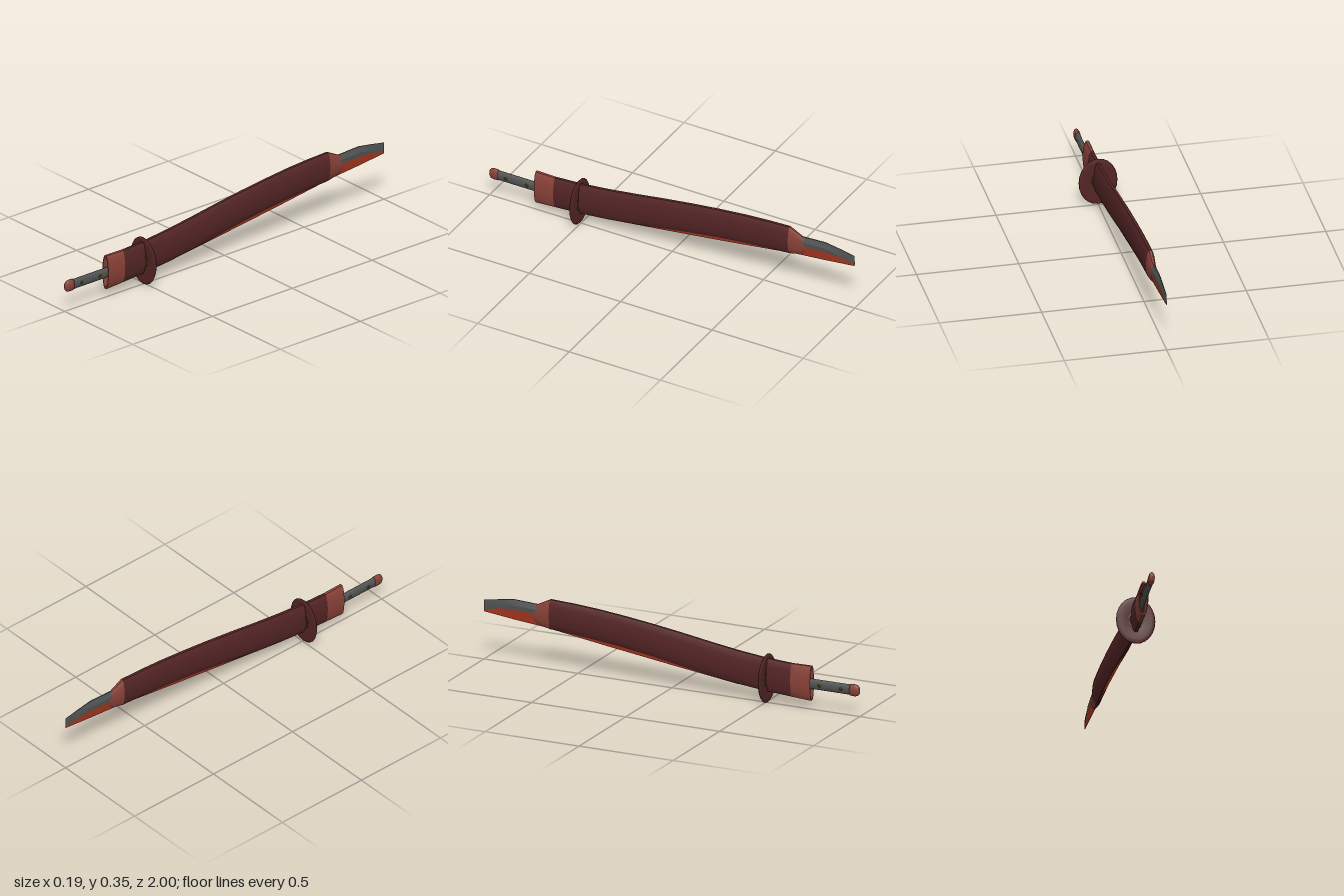
import * as THREE from 'three';
import { toCreasedNormals } from 'three/addons/utils/BufferGeometryUtils.js';

const material = (name, color) => {
  const m = new THREE.MeshStandardMaterial({ color, side: THREE.DoubleSide });
  m.name = name;
  return m;
};

// Skin a surface over rings of [x, y, z]; rings run counter-clockwise seen from +z, stations toward -z.
function loft(rings, closed, crease = 0.6) {
  const n = rings[0].length, index = [];
  for (let s = 0; s < rings.length - 1; s++) {
    for (let i = 0; i < (closed ? n : n - 1); i++) {
      const j = (i + 1) % n;
      const a = s * n + i, b = s * n + j, c = a + n, d = b + n;
      index.push(a, c, b, c, d, b);
    }
  }
  const g = new THREE.BufferGeometry();
  g.setAttribute('position', new THREE.Float32BufferAttribute(rings.flat(2), 3));
  g.setIndex(index);
  return toCreasedNormals(g, crease);
}

// Pointed-oval scabbard section: half width and height fractions
const HALF = [[0.3, 0], [0.62, 0.08], [0.85, 0.22], [1, 0.42], [1, 0.58], [0.85, 0.78], [0.62, 0.92], [0.3, 1]];
const SECTION = [...HALF, ...HALF.map(([u, v]) => [-u, v]).reverse()];
const scabbardRing = ([z, bottom, top, w]) =>
  SECTION.map(([u, v]) => [u * w, bottom + v * (top - bottom), z]);

export function createModel() {
  const group = new THREE.Group();
  const lacquer = material('dark lacquer', 0x552526);
  const fitting = material('red brown fitting', 0x8a4239);
  const steel = material('dark steel', 0x525454);
  const edgeRed = material('red edge', 0xb03a22);
  const olive = material('dark olive', 0x38320f);

  const add = (name, geometry, mat, parent = group) => {
    const mesh = new THREE.Mesh(geometry, mat);
    mesh.name = name;
    parent.add(mesh);
    return mesh;
  };

  // Curved scabbard: z, bottom, top, half width
  const body = [
    [0.64, 0.05, 0.215, 0.022], [0.5, 0.059, 0.223, 0.022], [0.35, 0.074, 0.239, 0.0225],
    [0.2, 0.094, 0.26, 0.0225], [0.05, 0.119, 0.283, 0.023], [-0.1, 0.145, 0.304, 0.023],
    [-0.25, 0.166, 0.322, 0.023], [-0.4, 0.183, 0.337, 0.023], [-0.52, 0.194, 0.345, 0.023],
    [-0.645, 0.203, 0.35, 0.022],
  ];
  add('scabbard', loft(body.map(scabbardRing), true, 0.7), lacquer);

  // Open mouth collar with an inner wall
  const mouth = [
    [0.64, 0.058, 0.207, 0.019], [0.745, 0.052, 0.209, 0.019],
    [0.745, 0.044, 0.217, 0.0225], [0.64, 0.05, 0.215, 0.0222],
  ];
  add('scabbardMouth', loft(mouth.map(scabbardRing), true), fitting);

  // Tapered end cap around the blade
  const endCap = [[-0.645, 0.203, 0.35, 0.022], [-0.71, 0.217, 0.318, 0.015], [-0.73, 0.235, 0.305, 0.0135]];
  add('scabbardEnd', loft(endCap.map(scabbardRing), true), fitting);

  // Blade: z, bottom, colour boundary, ridge, top, half width
  const blade = [
    [0.5, 0.072, 0.1, 0.13, 0.16, 0.012], [0.35, 0.07, 0.11, 0.15, 0.18, 0.014],
    [0, 0.114, 0.16, 0.2, 0.24, 0.015], [-0.35, 0.16, 0.21, 0.25, 0.29, 0.015],
    [-0.68, 0.207, 0.268, 0.29, 0.315, 0.015], [-0.84, 0.222, 0.272, 0.295, 0.323, 0.011],
    [-0.92, 0.231, 0.268, 0.278, 0.311, 0.007], [-1, 0.24, 0.247, 0.258, 0.297, 0.0005],
  ];
  add('bladeUpper', loft(blade.map(([z, , c, r, t, w]) => [
    [w * 0.85, c, z], [w, r, z], [w * 0.2, t, z], [-w * 0.2, t, z], [-w, r, z], [-w * 0.85, c, z],
  ]), false, 0.3), steel);
  add('bladeEdge', loft(blade.map(([z, b, c, , , w]) => [
    [-w * 0.85, c, z], [0, b, z], [w * 0.85, c, z],
  ]), false, 0.3), edgeRed);

  // Oval guard with a rounded rim and a central hole
  const guardProfile = [
    [0.3, -0.005], [0.8, -0.006], [0.96, -0.005], [1, 0],
    [0.96, 0.005], [0.8, 0.006], [0.3, 0.005], [0.3, -0.005],
  ].map(([r, h]) => new THREE.Vector2(r, h));
  const oval = (profile, rx, ry) =>
    new THREE.LatheGeometry(profile, 24).rotateX(Math.PI / 2).scale(rx, ry, 1);
  const guard = add('guard', oval(guardProfile, 0.095, 0.122), lacquer);
  guard.position.set(0, 0.122, 0.507);

  // Olive lining around the guard hole
  const lining = [[0.75, -0.0065], [1, -0.0065], [1, 0.0065], [0.75, 0.0065], [0.75, -0.0065]]
    .map(([r, h]) => new THREE.Vector2(r, h));
  const ring = add('guardLining', toCreasedNormals(oval(lining, 0.037, 0.049), 0.5), olive);
  ring.position.set(0, 0.123, 0.507);

  // Grip with an oval section
  const grip = add('grip', new THREE.CylinderGeometry(1, 1, 0.46, 16).rotateX(Math.PI / 2), steel);
  grip.scale.set(0.0135, 0.026, 1);
  grip.position.set(0, 0.128, 0.73);

  // Rounded pommel
  const pommelProfile = [[0, -0.05], [0.95, -0.05], [1, -0.042], [1, -0.025], [0.9, -0.011], [0.6, -0.003], [0, 0]]
    .map(([r, h]) => new THREE.Vector2(r, h));
  const pommel = add('pommel', oval(pommelProfile, 0.0155, 0.03), fitting);
  pommel.position.set(0, 0.128, 1);

  // Olive studs on both sides of the grip
  for (const z of [0.905, 0.79, 0.675, 0.56]) {
    const stud = add('gripStud', new THREE.SphereGeometry(1, 12, 8), olive);
    stud.scale.set(0.0155, 0.019, 0.025);
    stud.position.set(0, 0.128, z);
  }

  return group;
}
